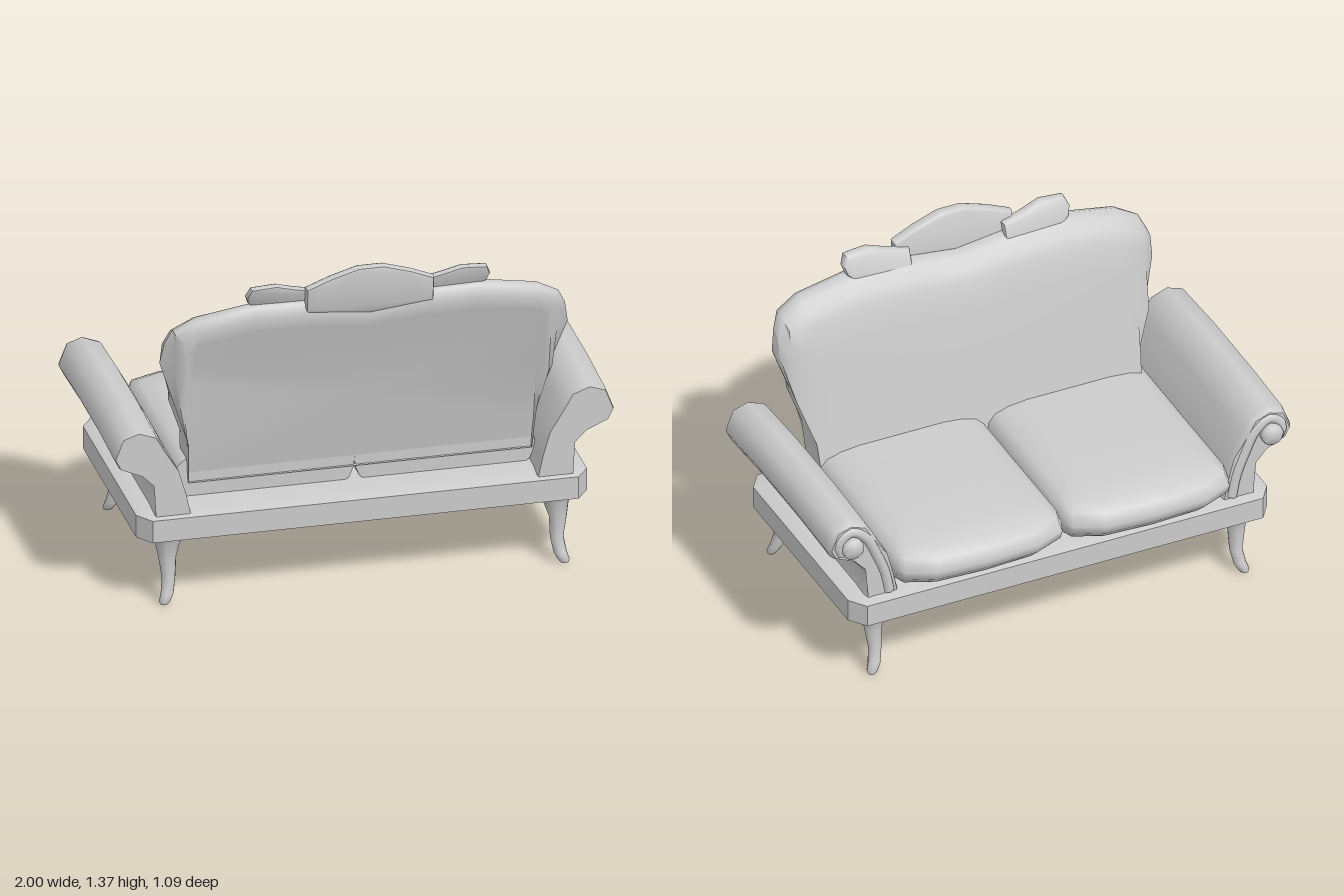
import * as THREE from 'three';
import { toCreasedNormals } from 'three/addons/utils/BufferGeometryUtils.js';

const material = new THREE.MeshStandardMaterial({ color: 0xcccccc });

function add(parent, name, geometry, crease = 0.8) {
  const mesh = new THREE.Mesh(toCreasedNormals(geometry, crease), material);
  mesh.name = name;
  parent.add(mesh);
  return mesh;
}

// Skin a closed solid over rings of equal point count, always facing outward
function loft(rings) {
  const n = rings[0].length, pos = rings.flat(2), index = [];
  const center = ring => [0, 1, 2].map(k => ring.reduce((s, p) => s + p[k], 0) / n);
  const last = rings.length - 1, c0 = rings.length * n;
  pos.push(...center(rings[0]), ...center(rings[last]));
  for (let i = 0; i < n; i++) {
    const j = (i + 1) % n;
    for (let r = 0; r < last; r++) {
      const a = r * n + i, b = r * n + j;
      index.push(a, b, b + n, a, b + n, a + n);
    }
    index.push(c0, j, i, c0 + 1, last * n + i, last * n + j);
  }
  let volume = 0;
  const v = i => new THREE.Vector3().fromArray(pos, i * 3);
  for (let i = 0; i < index.length; i += 3)
    volume += v(index[i]).dot(v(index[i + 1]).cross(v(index[i + 2])));
  if (volume < 0) index.reverse();
  const g = new THREE.BufferGeometry();
  g.setAttribute('position', new THREE.Float32BufferAttribute(pos, 3));
  g.setIndex(index);
  return g;
}

// Rectangle with chamfered corners in the ground plane
function chamferRing(x0, x1, z0, z1, cx, cz, y) {
  return [[x0 + cx, y, z0], [x1 - cx, y, z0], [x1, y, z0 + cz], [x1, y, z1 - cz],
    [x1 - cx, y, z1], [x0 + cx, y, z1], [x0, y, z1 - cz], [x0, y, z0 + cz]];
}

function buildBase(g) {
  const rings = [[0.262, 0.03], [0.275, 0], [0.368, 0], [0.374, 0.012], [0.39, 0.1]].map(([y, d]) =>
    chamferRing(-0.9 + d, 0.9 - d, -0.48 + d, 0.51 - d, 0.05, 0.07, y));
  add(g, 'base', loft(rings), 0.6);
}

function buildLegs(g) {
  // y, x, rear z, front z, radius
  const path = [[0.285, 0.77, 0.43, 0.37, 0.085], [0.25, 0.775, 0.445, 0.375, 0.052],
    [0.19, 0.78, 0.458, 0.383, 0.036], [0.1, 0.775, 0.458, 0.39, 0.027],
    [0.04, 0.785, 0.475, 0.405, 0.026], [0.012, 0.797, 0.484, 0.414, 0.023], [0, 0.8, 0.486, 0.418, 0.015]];
  for (const sx of [-1, 1]) for (const rear of [true, false]) {
    const rings = path.map(([y, x, zr, zf, r]) => Array.from({ length: 10 }, (_, i) => {
      const a = i / 10 * Math.PI * 2;
      return [sx * x + r * Math.cos(a), y, (rear ? zr : -zf) + r * 0.9 * Math.sin(a)];
    }));
    add(g, rear ? 'rearLeg' : 'frontLeg', loft(rings), 1);
  }
}

function buildArms(g) {
  const profile = [[0.69, 0.37], [0.71, 0.46], [0.74, 0.56], [0.79, 0.66], [0.83, 0.73], [0.9, 0.757],
    [0.965, 0.735], [0.998, 0.65], [0.975, 0.605], [0.885, 0.565], [0.835, 0.5], [0.82, 0.44], [0.835, 0.37]];
  // z, shrink toward the scroll, height change
  const stations = [[-0.44, 0.86, -0.01], [-0.425, 0.95, -0.01], [-0.405, 1, -0.01],
    [-0.15, 1, 0], [0.2, 1, 0], [0.47, 1, -0.015], [0.49, 0.96, -0.015]];
  for (const s of [-1, 1]) {
    const arm = new THREE.Group();
    arm.name = s > 0 ? 'leftArm' : 'rightArm';
    g.add(arm);
    const rings = stations.map(([z, k, dy]) => profile.map(([x, y]) => {
      const mx = y > 0.56 ? 0.89 : 0.77, my = y > 0.56 ? 0.65 : y;
      return [s * (mx + (x - mx) * k), my + (y - my) * k + (y > 0.56 ? dy : 0), z];
    }));
    add(arm, 'armBody', loft(rings), 0.9);
    // Raised welt running up the arm front into the scroll
    const welt = new THREE.CatmullRomCurve3([[0.735, 0.385], [0.755, 0.48], [0.79, 0.57], [0.835, 0.66], [0.9, 0.705],
      [0.95, 0.66], [0.935, 0.61]].map(([x, y]) => new THREE.Vector3(s * x, y, -0.43)));
    add(arm, 'armWelt', new THREE.TubeGeometry(welt, 24, 0.024, 8), 1.2);
    const button = new THREE.LatheGeometry([[0, 0], [0.045, 0], [0.045, 0.035], [0.035, 0.046], [0, 0.05]]
      .map(p => new THREE.Vector2(...p)), 14).rotateX(-Math.PI / 2);
    add(arm, 'scrollButton', button).position.set(s * 0.9, 0.64, -0.43);
  }
}

function buildCushions(g) {
  // y, inset, extra inset at the front
  const layers = [[0.38, 0.05, 0.05], [0.4, 0.02, 0.03], [0.44, 0.004, 0.006], [0.475, 0, 0],
    [0.52, 0.01, 0.015], [0.548, 0.04, 0.04], [0.565, 0.1, 0.08], [0.572, 0.18, 0.14]];
  for (const [name, x0, x1] of [['rightCushion', -0.725, -0.008], ['leftCushion', -0.008, 0.712]]) {
    const rings = layers.map(([y, d, f]) => {
      const a = x0 + d, b = x1 - d, z = -0.545 + d + f, w = b - a;
      return [[a, y, 0.36], [a, y, 0], [a, y, z + 0.12], [a + 0.03 * w, y, z + 0.06], [a + 0.2 * w, y, z + 0.01],
        [a + 0.5 * w, y, z], [b - 0.2 * w, y, z + 0.01], [b - 0.03 * w, y, z + 0.06], [b, y, z + 0.12], [b, y, 0], [b, y, 0.36]];
    });
    add(g, name, loft(rings), 0.9);
  }
}

function buildBackrest(g) {
  const half = [[0.36, 0.45], [0.685, 0.45], [0.695, 0.64], [0.755, 0.82], [0.815, 1.0], [0.8, 1.09], [0.77, 1.15],
    [0.68, 1.2], [0.45, 1.24], [0.22, 1.235]];
  const outline = [[0, 0.45], ...half, [0, 1.21], ...half.map(([x, y]) => [-x, y]).reverse()];
  // width limit, height scale, depth behind the seat-side face
  const layers = [[0.62, 0.74, 0], [0.7, 0.86, 0.005], [0.76, 0.93, 0.022], [0.8, 0.975, 0.05], [0.82, 1, 0.085],
    [0.765, 0.985, 0.118], [0.735, 0.94, 0.142], [0.715, 0.86, 0.14], [0.69, 0.7, 0.122]];
  const rings = layers.map(([limit, k, d]) => outline.map(([x, y]) => {
    const yy = 0.45 + (y - 0.45) * k;
    return [0.012 + Math.sign(x) * Math.min(Math.abs(x), limit), yy, 0.23 + 0.2 * (yy - 0.45) + d];
  }));
  add(g, 'backrest', loft(rings), 0.9);
}

// Carved plate in the xy plane, leaning back by a slope
function carvedPlate(points, z, depth, lean) {
  const bevel = 0.014;
  const geo = new THREE.ExtrudeGeometry(new THREE.Shape(points.map(p => new THREE.Vector2(...p))), {
    depth, bevelThickness: bevel, bevelSize: bevel, bevelOffset: -bevel, bevelSegments: 2,
  });
  const p = geo.attributes.position;
  for (let i = 0; i < p.count; i++) p.setZ(i, p.getZ(i) + z + lean * (p.getY(i) - 1.25));
  return geo;
}

function buildCrest(g) {
  const crest = new THREE.Group();
  crest.name = 'crest';
  crest.position.x = 0.015;
  g.add(crest);
  add(crest, 'crestCentre', carvedPlate([[-0.255, 1.19], [0, 1.16], [0.255, 1.19], [0.255, 1.295], [0.16, 1.335],
    [0.05, 1.37], [-0.05, 1.37], [-0.16, 1.335], [-0.255, 1.295]], 0.495, 0.02, 0.14), 0.7);
  for (const s of [-1, 1]) {
    const wing = [[0.2, 1.17], [0.42, 1.19], [0.475, 1.235], [0.487, 1.27], [0.47, 1.31],
      [0.37, 1.317], [0.3, 1.295], [0.2, 1.27]].map(([x, y]) => [s * x, y]);
    add(crest, s > 0 ? 'crestLeftWing' : 'crestRightWing', carvedPlate(wing, 0.462, 0.016, 0.4), 0.7);
  }
}

export function createModel() {
  const sofa = new THREE.Group();
  sofa.name = 'sofa';
  for (const build of [buildBase, buildLegs, buildArms, buildCushions, buildBackrest, buildCrest]) build(sofa);
  return sofa;
}
